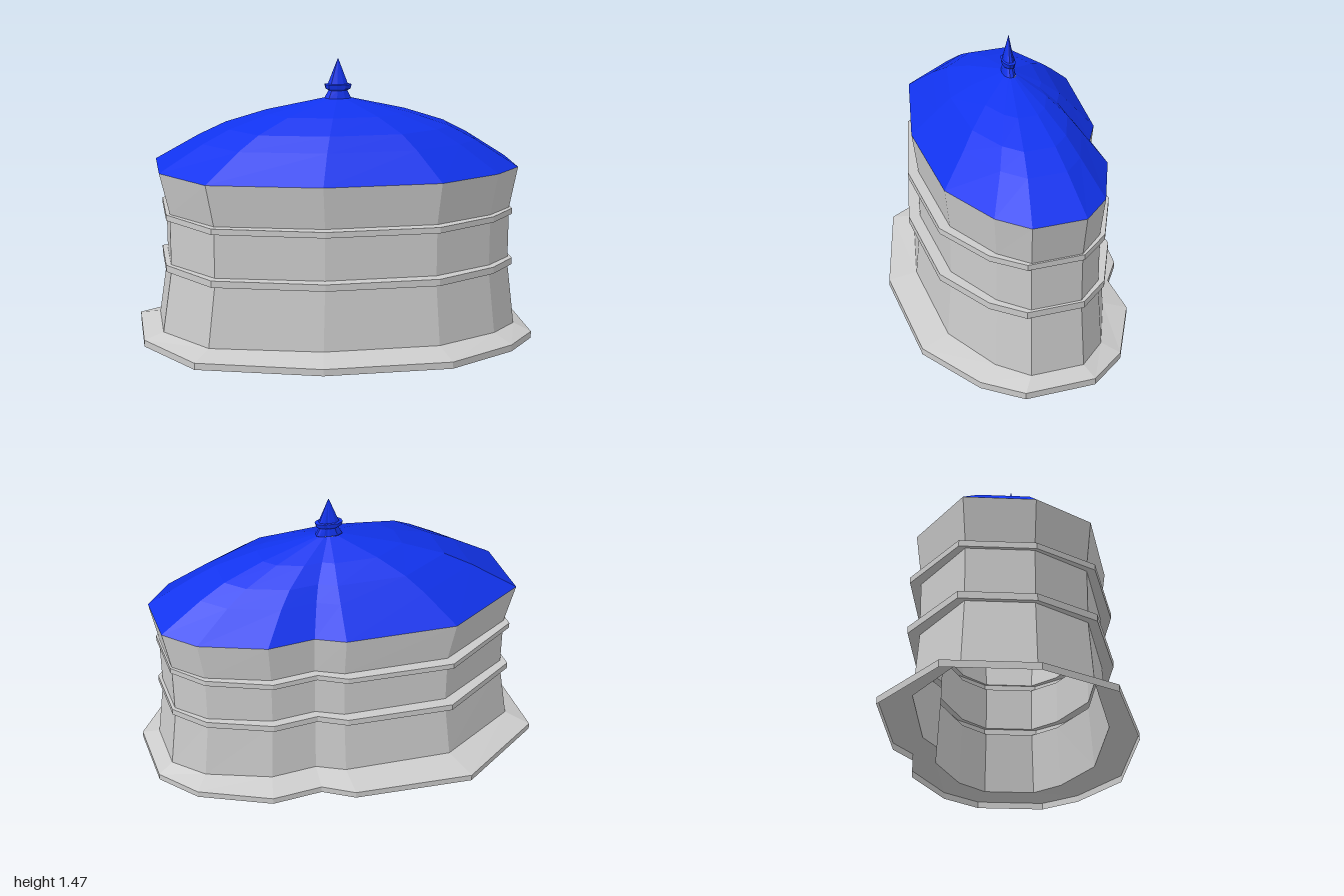
import * as THREE from 'three';

// Eave outline in plan (x, z), relative to its centre
const OUTLINE = [
  [-0.91, -0.28], [-0.49, -0.488], [0.07, -0.428], [0.21, -0.352], [0.45, -0.352],
  [0.77, -0.215], [0.91, -0.067], [0.91, 0.205], [0.77, 0.343], [0.45, 0.488],
  [-0.14, 0.488], [-0.70, 0.347], [-0.91, 0.065],
];

// Stacks scaled copies of the outline; each ring is [y, scaleX, scaleZ, centreX, centreZ]
function loft(rings) {
  const pos = [];
  const n = OUTLINE.length;
  const point = ([y, sx, sz, cx, cz], i) => {
    const [x, z] = OUTLINE[i % n];
    return [cx + x * sx, y, cz + z * sz];
  };
  for (let r = 0; r < rings.length - 1; r++) {
    const lo = rings[r], hi = rings[r + 1];
    for (let i = 0; i < n; i++) {
      const a = point(lo, i), b = point(lo, i + 1), c = point(hi, i), d = point(hi, i + 1);
      pos.push(...a, ...c, ...b);
      if (hi[1] > 0) pos.push(...b, ...c, ...d);
    }
  }
  const geo = new THREE.BufferGeometry();
  geo.setAttribute('position', new THREE.Float32BufferAttribute(pos, 3));
  geo.computeVertexNormals();
  return geo;
}

export function createModel() {
  const group = new THREE.Group();
  const grey = new THREE.MeshStandardMaterial({ color: 0xcccccc, flatShading: true, side: THREE.DoubleSide });
  const blue = new THREE.MeshStandardMaterial({ color: 0x1133ee, flatShading: true, side: THREE.DoubleSide });
  const add = (name, rings, material) => {
    const mesh = new THREE.Mesh(loft(rings), material);
    mesh.name = name;
    group.add(mesh);
  };

  // Flared foot, open underneath
  add('base', [
    [0, 1.1, 1.32, 0, 0],
    [0.035, 1.1, 1.32, 0, 0],
    [0.07, 1, 1, 0.01, 0.01],
  ], grey);

  // Waisted wall in three tiers
  const waist = [0.952, 0.945, 0.015, 0.01];
  add('lowerWall', [[0.07, 1, 1, 0.01, 0.01], [0.395, ...waist]], grey);
  add('middleWall', [[0.43, ...waist], [0.665, ...waist]], grey);
  add('upperWall', [[0.695, ...waist], [0.91, 1, 1, 0.01, 0.01]], grey);

  // Hollow projecting bands between the tiers
  const band = (name, y0, y1, sx, sz) => add(name, [
    [y0, ...waist], [y0, sx, sz, 0.01, 0.01], [y1, sx, sz, 0.01, 0.01], [y1, ...waist],
  ], grey);
  band('lowerBand', 0.395, 0.43, 0.975, 1.065);
  band('upperBand', 0.665, 0.695, 0.968, 1.055);

  // Domed roof
  add('roof', [
    [0.91, 1, 1, 0.01, 0.01],
    [1.05, 0.76, 0.725, 0.015, 0.015],
    [1.12, 0.615, 0.585, 0.018, 0.018],
    [1.19, 0.39, 0.375, 0.018, 0.02],
    [1.26, 0.072, 0.07, 0.018, 0.022],
  ], blue);

  // Spire with a small collar
  const c = [0.018, 0.024];
  add('finial', [
    [1.26, 0.072, 0.07, ...c],
    [1.3, 0.05, 0.055, ...c],
    [1.308, 0.068, 0.068, ...c],
    [1.33, 0.074, 0.074, ...c],
    [1.333, 0.054, 0.058, ...c],
    [1.465, 0, 0, ...c],
  ], blue);

  return group;
}
